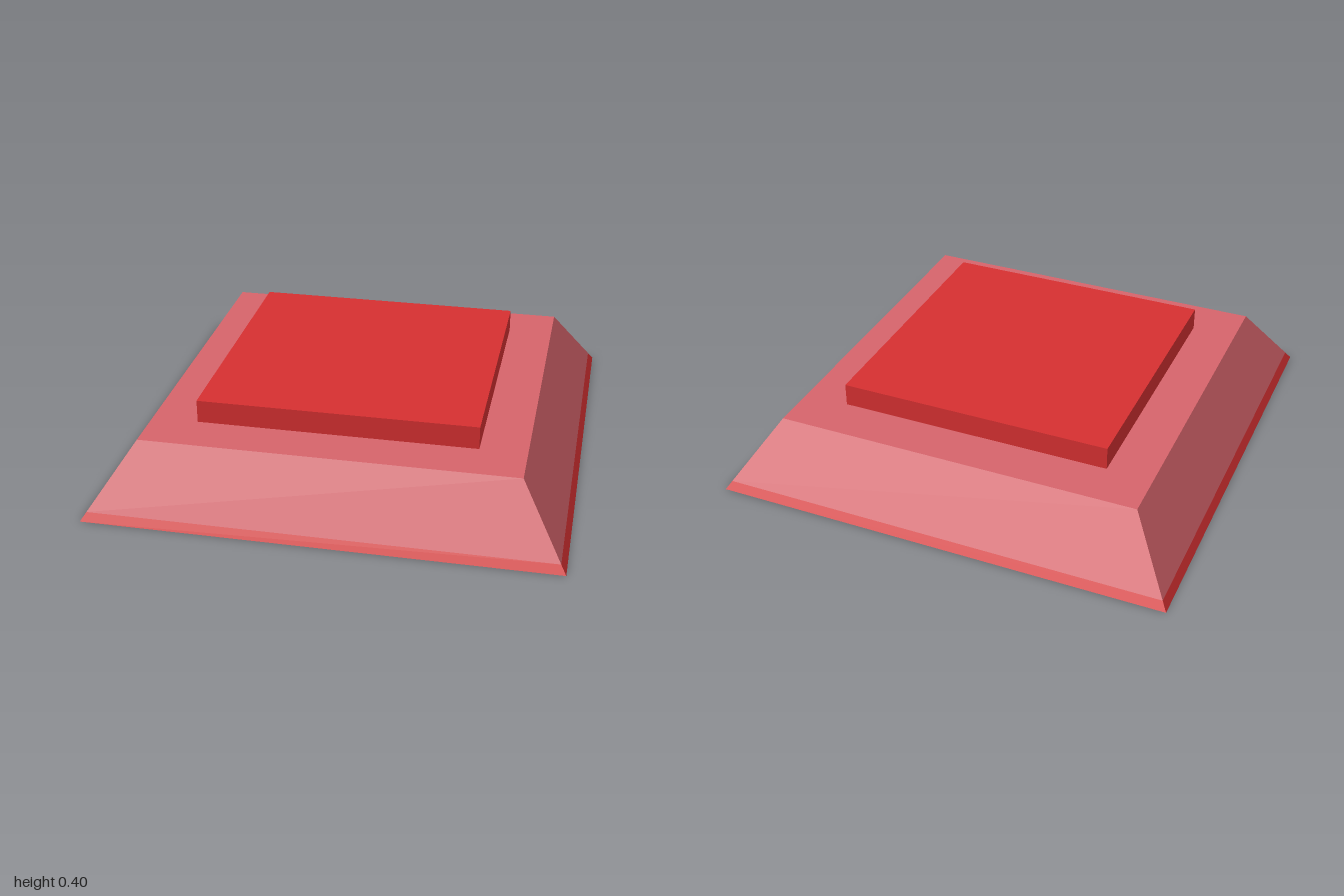
import * as THREE from 'three';

const red = new THREE.MeshStandardMaterial({ color: 0xd63031, flatShading: true });
red.name = 'red';
const pink = new THREE.MeshStandardMaterial({ color: 0xd6646b, flatShading: true });
pink.name = 'pink';

const BASE_HALF = 1, TOP_HALF = 0.8, HEIGHT = 0.3, TRIM = 0.035;

// Half width of the sloping base at height y
const halfAt = (y) => BASE_HALF + (TOP_HALF - BASE_HALF) * (y / HEIGHT);

function add(group, name, geometry, material) {
  const mesh = new THREE.Mesh(geometry, material);
  mesh.name = name;
  group.add(mesh);
}

// Four sloping walls between two heights
function slopedWalls(y0, y1) {
  return new THREE.CylinderGeometry(halfAt(y1) * Math.SQRT2, halfAt(y0) * Math.SQRT2, y1 - y0, 4, 1, true)
    .rotateY(Math.PI / 4)
    .translate(0, (y0 + y1) / 2, 0);
}

// Horizontal square facing up (1) or down (-1)
function square(half, y, facing) {
  return new THREE.PlaneGeometry(half * 2, half * 2)
    .rotateX(-facing * Math.PI / 2)
    .translate(0, y, 0);
}

export function createModel() {
  const model = new THREE.Group();
  model.name = 'button';

  // Sloping base with a thin red trim around its foot
  add(model, 'baseTrim', slopedWalls(0, TRIM), red);
  add(model, 'baseWalls', slopedWalls(TRIM, HEIGHT), pink);
  add(model, 'baseTop', square(TOP_HALF, HEIGHT, 1), pink);
  add(model, 'baseUnderside', square(BASE_HALF, 0, -1), pink);

  // Raised square pad
  add(model, 'pad', new THREE.BoxGeometry(1.2, 0.1, 1.2).translate(0, HEIGHT + 0.05, 0), red);

  return model;
}
